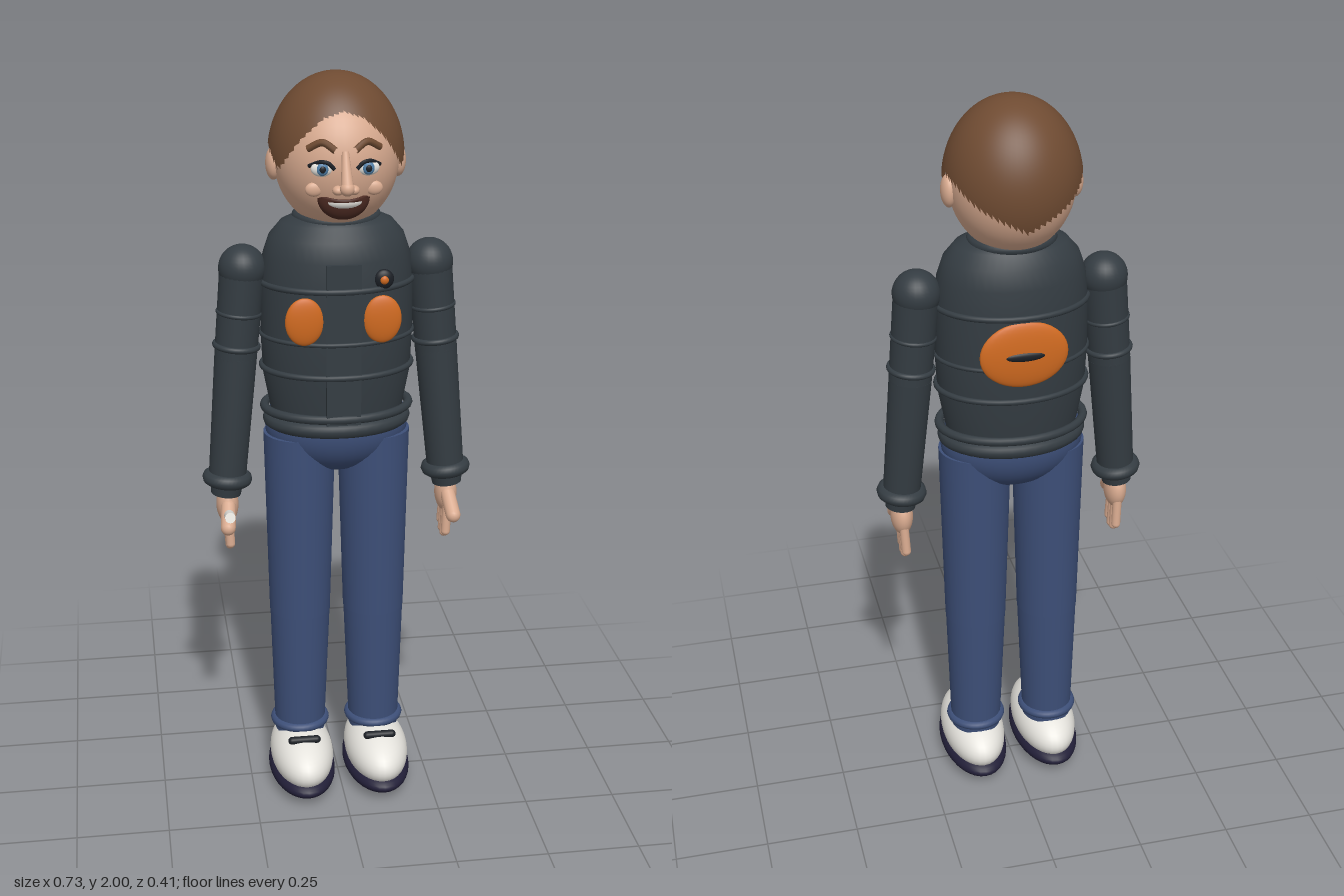
import * as THREE from 'three';

const mat = (name, color) => {
  const m = new THREE.MeshStandardMaterial({ color });
  m.name = name;
  return m;
};
const M = {
  jacket: mat('charcoal jacket', 0x343c42),
  orange: mat('orange patch', 0xd06a20),
  denim: mat('blue denim', 0x3d4f78),
  skin: mat('skin', 0xd9ab90),
  hair: mat('brown hair', 0x6f4b32),
  white: mat('off white', 0xe6e4de),
  sole: mat('navy sole', 0x221f38),
  dark: mat('near black', 0x1b1f25),
  iris: mat('iris blue', 0x4f7fa8),
  mouth: mat('mouth brown', 0x4c2a22),
};
M.hair.side = THREE.DoubleSide;
M.mouth.side = THREE.DoubleSide;
M.white.side = THREE.DoubleSide;

const V = (x, y, z) => new THREE.Vector3(x, y, z);
const UP = V(0, 1, 0);
const HEAD = { c: V(0, 1.79, -0.025), r: V(0.16, 0.185, 0.17) };

// Depth of the face surface at x, y
function faceZ(x, y) {
  const a = x / HEAD.r.x, b = (y - HEAD.c.y) / HEAD.r.y;
  return HEAD.c.z + HEAD.r.z * Math.sqrt(Math.max(0, 1 - a * a - b * b));
}

export function createModel() {
  const root = new THREE.Group();
  root.name = 'figure';

  const add = (name, geo, m, pos = V(0, 0, 0), parent = root) => {
    const mesh = new THREE.Mesh(geo, m);
    mesh.name = name;
    mesh.position.copy(pos);
    parent.add(mesh);
    return mesh;
  };
  const ball = (name, m, pos, rx, ry = rx, rz = rx, seg = 28) => {
    const b = add(name, new THREE.SphereGeometry(1, seg, Math.round(seg * 0.7)), m, pos);
    b.scale.set(rx, ry, rz);
    return b;
  };
  // Tapered cylinder from a to b
  const limb = (name, m, a, b, ra, rb, seg = 28) => {
    const d = b.clone().sub(a);
    const c = add(name, new THREE.CylinderGeometry(rb, ra, d.length(), seg), m, a.clone().lerp(b, 0.5));
    c.quaternion.setFromUnitVectors(UP, d.normalize());
    return c;
  };
  // Torus around an axis
  const ring = (name, m, pos, axis, R, r) => {
    const t = add(name, new THREE.TorusGeometry(R, r, 10, 40).rotateX(Math.PI / 2), m, pos);
    t.quaternion.setFromUnitVectors(UP, axis.clone().normalize());
    return t;
  };
  const capsule = (name, m, a, b, r) => {
    const d = b.clone().sub(a);
    const c = add(name, new THREE.CapsuleGeometry(r, d.length(), 6, 14), m, a.clone().lerp(b, 0.5));
    c.quaternion.setFromUnitVectors(UP, d.normalize());
    return c;
  };

  // Jacket body
  const profile = [[0, 1.08], [0.17, 1.08], [0.178, 1.13], [0.195, 1.22], [0.2, 1.32], [0.2, 1.46],
    [0.192, 1.54], [0.175, 1.59], [0.145, 1.625], [0.1, 1.645], [0, 1.65]];
  const torso = add('jacketBody', new THREE.LatheGeometry(profile.map(p => new THREE.Vector2(...p)), 48),
    M.jacket, V(0, 0, -0.02));
  torso.scale.z = 0.7;
  for (const [y, R, r] of [[1.47, 0.198, 0.008], [1.33, 0.2, 0.006], [1.24, 0.198, 0.008],
    [1.125, 0.193, 0.012], [1.09, 0.178, 0.02]]) {
    ring('jacketBand', M.jacket, V(0, y, -0.02), UP, R, r).scale.z = 0.72;
  }
  ring('collar', M.jacket, V(0, 1.635, -0.025), UP, 0.1, 0.016).scale.z = 0.85;
  add('placket', new THREE.BoxGeometry(0.09, 0.43, 0.016), M.jacket, V(0, 1.325, 0.114));

  // Jacket patches and badge
  for (const s of [-1, 1]) ball('chestPatch', M.orange, V(s * 0.1, 1.393, 0.111), 0.05, 0.063, 0.014);
  ball('backPatch', M.orange, V(0, 1.37, -0.156), 0.115, 0.09, 0.018);
  ball('backPatchMark', M.dark, V(0, 1.37, -0.17), 0.052, 0.013, 0.008);
  ball('badge', M.dark, V(0.105, 1.495, 0.1), 0.026, 0.026, 0.013);
  ball('badgeCentre', M.orange, V(0.105, 1.495, 0.108), 0.012, 0.012, 0.009);

  // Hips
  ball('hips', M.denim, V(0, 1.07, -0.025), 0.192, 0.133, 0.125, 36);

  for (const s of [-1, 1]) {
    // Arm and cuff
    const shoulder = V(s * 0.245, 1.505, -0.02), elbow = V(s * 0.267, 1.27, -0.018), wrist = V(s * 0.298, 0.93, -0.006);
    const upper = elbow.clone().sub(shoulder), lower = wrist.clone().sub(elbow);
    ball('shoulder', M.jacket, shoulder, 0.062);
    limb('upperSleeve', M.jacket, shoulder, elbow, 0.059, 0.056);
    ball('elbow', M.jacket, elbow, 0.056);
    limb('lowerSleeve', M.jacket, elbow, wrist, 0.056, 0.05);
    ring('sleeveBand', M.jacket, shoulder.clone().lerp(elbow, 0.5), upper, 0.055, 0.006);
    ring('sleeveBand', M.jacket, shoulder.clone().lerp(elbow, 0.88), upper, 0.056, 0.008);
    ring('cuff', M.jacket, wrist, lower, 0.048, 0.019);
    limb('cuffEnd', M.jacket, wrist, V(s * 0.303, 0.885, -0.006), 0.046, 0.04);

    // Hand
    const hx = s * 0.3;
    ball('palm', M.skin, V(hx, 0.855, -0.004), 0.03, 0.055, 0.045);
    for (let i = 0; i < 4; i++) {
      const z = 0.029 - i * 0.022, drop = [0.75, 0.738, 0.742, 0.758][i];
      capsule('finger', M.skin, V(hx, 0.84, z * 0.85), V(hx - s * 0.004, drop, z), 0.0125);
    }
    capsule('thumb', M.skin, V(hx, 0.86, 0.03), V(hx + s * 0.005, 0.82, 0.082), 0.02);

    // Trouser leg
    const x = s * 0.103, hip = V(s * 0.1, 1.05, -0.022), knee = V(x, 0.52, -0.021), ankle = V(s * 0.106, 0.14, -0.021);
    limb('thigh', M.denim, hip, knee, 0.097, 0.084);
    limb('shin', M.denim, knee, ankle, 0.083, 0.07);
    ring('trouserHem', M.denim, V(s * 0.106, 0.17, -0.021), UP, 0.07, 0.013);

    // Shoe
    ball('shoeUpper', M.white, V(s * 0.107, 0.087, 0.023), 0.088, 0.079, 0.173, 36);
    ball('shoeSole', M.sole, V(s * 0.107, 0.042, 0.022), 0.093, 0.042, 0.181, 36);
    capsule('shoeStrap', M.dark, V(s * 0.107 - 0.035, 0.158, 0.095), V(s * 0.107 + 0.035, 0.158, 0.095), 0.011);
  }
  // Small white stick in the right hand
  limb('whiteStick', M.white, V(-0.3, 0.845, 0.05), V(-0.302, 0.868, 0.125), 0.014, 0.014, 16);

  // Head and ears
  limb('neck', M.skin, V(0, 1.6, -0.025), V(0, 1.7, -0.025), 0.075, 0.075);
  ball('head', M.skin, HEAD.c, HEAD.r.x, HEAD.r.y, HEAD.r.z, 44);
  for (const s of [-1, 1]) ball('ear', M.skin, V(s * 0.16, 1.772, -0.03), 0.02, 0.042, 0.031);

  // Hair cap whose lower edge follows a hairline (degrees from the front, height)
  const hairline = [[0, 1.92], [20, 1.903], [38, 1.855], [52, 1.8], [63, 1.765], [80, 1.805],
    [95, 1.82], [115, 1.805], [140, 1.76], [180, 1.7]];
  const lineAt = deg => {
    const i = Math.max(1, hairline.findIndex(p => p[0] >= deg - 1e-6));
    const [a, ya] = hairline[i - 1], [b, yb] = hairline[i];
    return ya + (yb - ya) * (deg - a) / (b - a);
  };
  const cap = new THREE.SphereGeometry(1, 72, 28);
  const p = cap.attributes.position, uv = cap.attributes.uv;
  for (let i = 0; i < p.count; i++) {
    const row = Math.floor(i / 73) / 28, col = (i % 73) / 72;
    const th = (col - 0.5) * Math.PI * 2;
    const deg = Math.min(180, Math.abs(THREE.MathUtils.radToDeg(th)));
    const phi = row * Math.acos((lineAt(deg) - 1.79) / 0.21);
    p.setXYZ(i, Math.sin(th) * Math.sin(phi), Math.cos(phi), Math.cos(th) * Math.sin(phi));
    cap.attributes.normal.setXYZ(i, p.getX(i), p.getY(i), p.getZ(i));
  }
  add('hair', cap, M.hair, V(0, 1.79, -0.031)).scale.set(0.174, 0.21, 0.176);

  // Eyes, brows and cheeks
  for (const s of [-1, 1]) {
    const ex = s * 0.057, ey = 1.79, ez = faceZ(ex, ey);
    ball('eyeWhite', M.white, V(ex, ey, ez), 0.028, 0.02, 0.013);
    ball('iris', M.iris, V(ex, ey, ez + 0.009), 0.015, 0.016, 0.007);
    ball('pupil', M.dark, V(ex, ey, ez + 0.014), 0.008, 0.009, 0.004);
    const arc = (name, m, pts, r) => add(name, new THREE.TubeGeometry(
      new THREE.CatmullRomCurve3(pts.map(([x, y, d]) => V(s * x, y, faceZ(x, y) + d))), 16, r, 8), m);
    arc('upperLid', M.dark, [[0.028, 1.79, 0.006], [0.044, 1.806, 0.011], [0.062, 1.808, 0.012], [0.088, 1.795, 0.005]], 0.005);
    arc('eyebrow', M.hair, [[0.025, 1.835, 0.006], [0.055, 1.853, 0.007], [0.09, 1.836, 0.006]], 0.009);
    ball('cheek', M.skin, V(s * 0.075, 1.735, faceZ(0.075, 1.735)), 0.022, 0.018, 0.01);
    ball('nostril', M.skin, V(s * 0.02, 1.738, 0.15), 0.014, 0.012, 0.016);
  }

  // Nose
  limb('noseBridge', M.skin, V(0, 1.83, 0.138), V(0, 1.748, 0.172), 0.009, 0.016, 16);
  ball('noseTip', M.skin, V(0, 1.746, 0.172), 0.018);

  // Open smile with upper teeth
  const half = new THREE.SphereGeometry(1, 32, 16, 0, Math.PI * 2, Math.PI / 2, Math.PI / 2);
  add('mouth', half, M.mouth, V(0, 1.713, 0.108)).scale.set(0.066, 0.058, 0.033);
  add('teeth', half, M.white, V(0, 1.706, 0.11)).scale.set(0.055, 0.026, 0.036);
  add('upperLip', new THREE.TubeGeometry(new THREE.CatmullRomCurve3([V(-0.066, 1.715, 0.105),
    V(-0.03, 1.71, 0.134), V(0, 1.708, 0.142), V(0.03, 1.71, 0.134), V(0.066, 1.715, 0.105)]), 24, 0.005, 8), M.mouth);

  return root;
}
